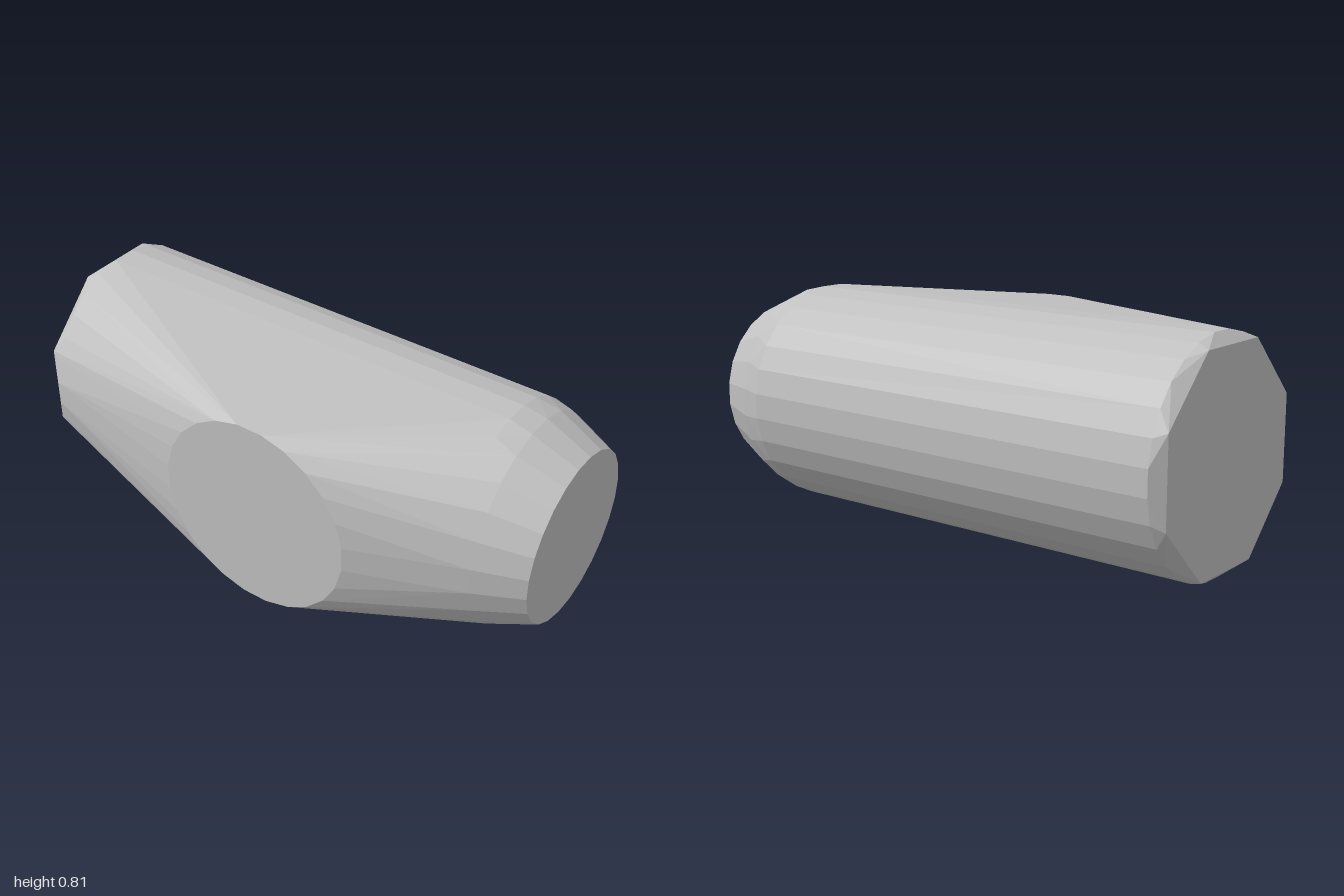
import * as THREE from 'three';
import { ConvexGeometry } from 'three/addons/geometries/ConvexGeometry.js';

const AXIS_X = 0.068, AXIS_Y = 0.408;

// Ring of points around the main axis, with flat edges on top and at the sides
function axialRing(z, radius, sides) {
  return Array.from({ length: sides }, (_, i) => {
    const a = ((i + 0.5) / sides) * Math.PI * 2;
    return new THREE.Vector3(AXIS_X + Math.cos(a) * radius, AXIS_Y + Math.sin(a) * radius, z);
  });
}

// Ring of points around the side outlet
function sideRing(x, z, radius, sides) {
  return Array.from({ length: sides }, (_, i) => {
    const a = ((i + 0.5) / sides) * Math.PI * 2;
    return new THREE.Vector3(x, AXIS_Y + Math.sin(a) * radius, z + Math.cos(a) * radius);
  });
}

export function createModel() {
  const group = new THREE.Group();
  group.name = 'branchedHull';
  const grey = new THREE.MeshStandardMaterial({ color: 0xc0c0c0 });
  grey.name = 'lightGrey';

  // Convex skin over the barrel, its tapered nose, chamfered tail and side outlet
  const points = [
    ...axialRing(1, 0.316, 24),
    ...axialRing(0.83, 0.39, 24),
    ...axialRing(0.745, 0.409, 28),
    ...axialRing(-0.955, 0.409, 28),
    ...axialRing(-1, 0.4, 8),
    ...sideRing(-0.475, 0.07, 0.371, 24),
  ];
  const body = new THREE.Mesh(new ConvexGeometry(points), grey);
  body.name = 'body';
  group.add(body);
  return group;
}
